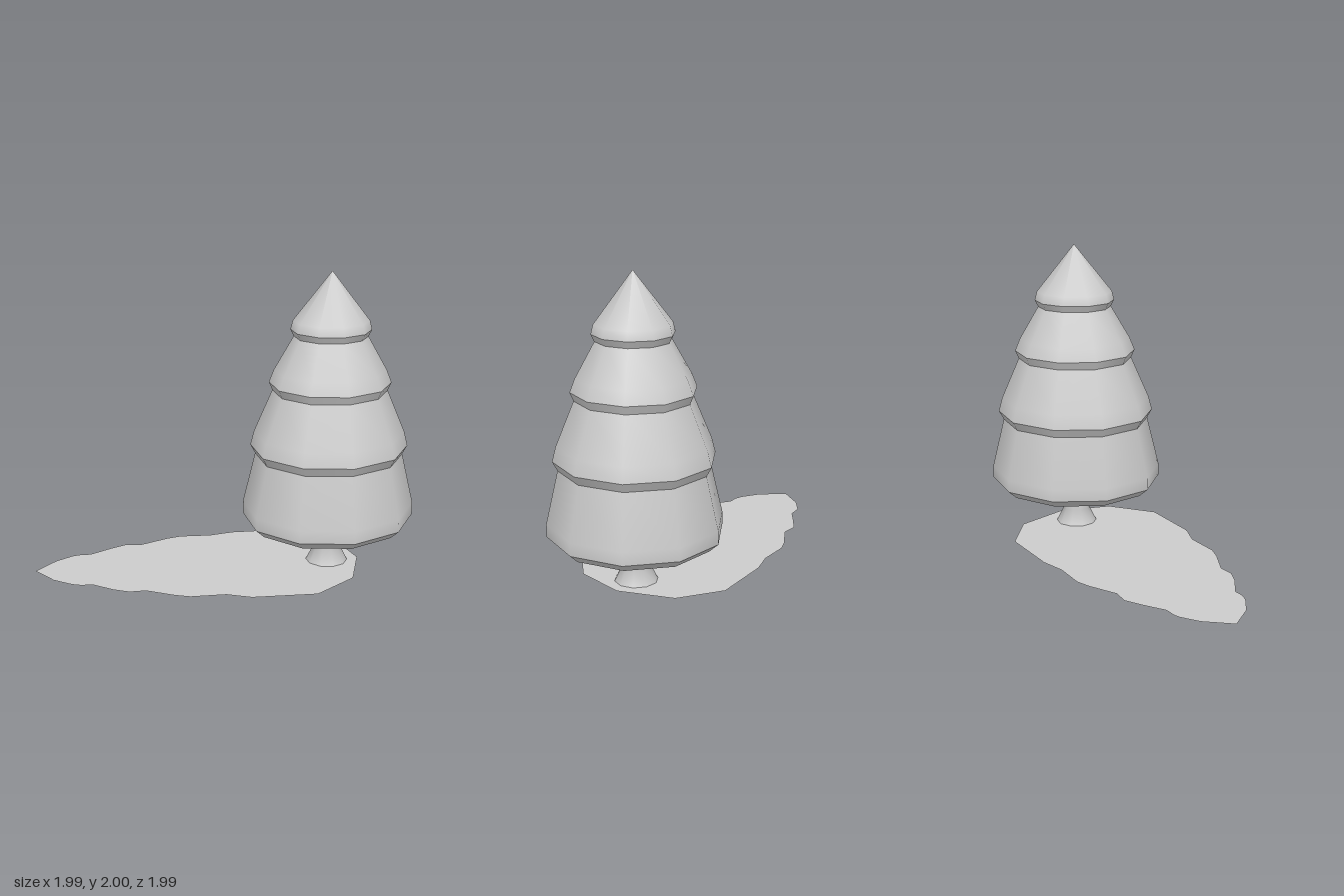
import * as THREE from 'three';

const SIDES = 10;

export function createModel() {
  const model = new THREE.Group();
  const material = new THREE.MeshStandardMaterial({ color: 0xcccccc, side: THREE.DoubleSide });

  // Smooth ten-sided surface of revolution; profile is [radius, height], bottom to top
  const lathe = (name, profile) => {
    const points = profile.map(([r, y]) => new THREE.Vector2(r, y));
    const mesh = new THREE.Mesh(new THREE.LatheGeometry(points, SIDES), material);
    mesh.name = name;
    return mesh;
  };

  const tree = new THREE.Group();
  tree.name = 'tree';
  tree.position.set(0.426, 0, 0.426);
  model.add(tree);

  // Trunk with flared foot, running up inside the hollow foliage
  tree.add(lathe('trunk', [[0.141, 0], [0.092, 0.1], [0.086, 0.5], [0, 0.5]]));

  // Foliage tiers: undercut radius and height, then the rim, shoulder and top of each skirt
  const tiers = [
    [[0.505, 0.28], [0.565, 0.335], [0.565, 0.42], [0.485, 0.765]],
    [[0.485, 0.765], [0.517, 0.825], [0.493, 0.92], [0.375, 1.205]],
    [[0.375, 1.205], [0.398, 1.26], [0.365, 1.345], [0.24, 1.57]],
    [[0.24, 1.57], [0.262, 1.615], [0.247, 1.675], [0, 2]],
  ];
  const foliage = new THREE.Group();
  foliage.name = 'foliage';
  foliage.scale.x = 1.05;
  tiers.forEach((tier, i) => {
    // Separate undercut and skirt keep the rim edge sharp
    foliage.add(lathe(`undercut${i + 1}`, tier.slice(0, 2)));
    foliage.add(lathe(`skirt${i + 1}`, tier.slice(1)));
  });
  tree.add(foliage);

  // Flat cast shadow on the ground, outline as [x, z]
  const outline = [
    [-0.97, -0.98], [-0.76, -1], [-0.63, -0.975], [-0.59, -0.955], [-0.53, -0.9], [-0.37, -0.865],
    [-0.25, -0.83], [-0.18, -0.745], [0.02, -0.68], [0.11, -0.635], [0.26, -0.48], [0.41, -0.39],
    [0.72, -0.09], [0.77, 0.24], [0.585, 0.575], [0.27, 0.75], [-0.085, 0.715], [-0.39, 0.415],
    [-0.46, 0.26], [-0.63, 0.1], [-0.675, 0.01], [-0.74, -0.185], [-0.82, -0.255], [-0.86, -0.36],
    [-0.89, -0.525], [-0.94, -0.57], [-0.97, -0.63], [-0.998, -0.775],
  ];
  const shape = new THREE.Shape(outline.map(([x, z]) => new THREE.Vector2(x, -z)));
  const shadow = new THREE.Mesh(new THREE.ShapeGeometry(shape).rotateX(-Math.PI / 2), material);
  shadow.name = 'groundShadow';
  model.add(shadow);

  return model;
}
